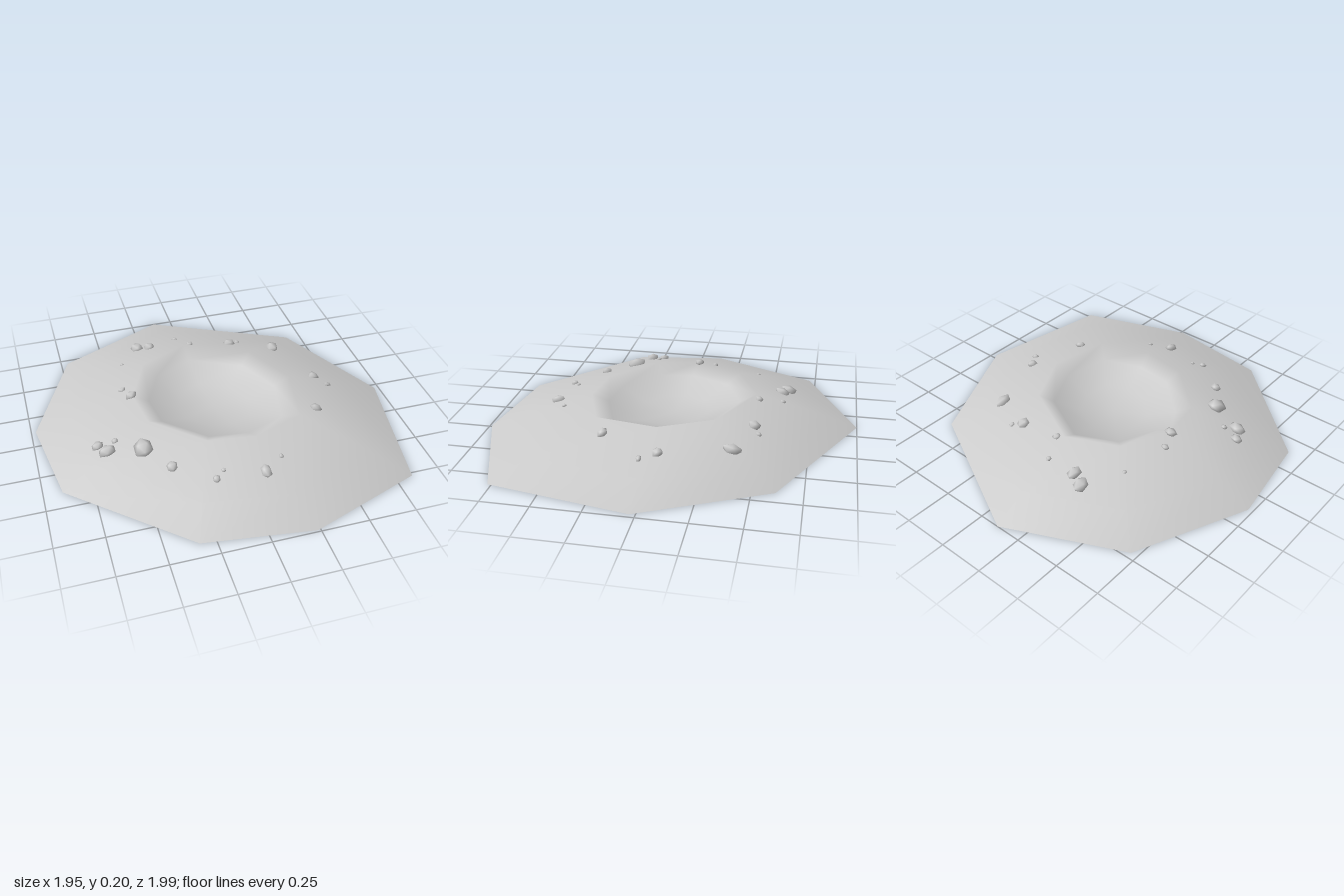
import * as THREE from 'three';
import { mergeVertices } from 'three/addons/utils/BufferGeometryUtils.js';

// Uneven nine-sided footprint (x, z), clockwise seen from above
const OUTLINE = [
  [-0.11, -1], [0.665, -0.615], [0.976, 0.03], [0.844, 0.77], [0.237, 0.99],
  [-0.332, 0.913], [-0.902, 0.39], [-0.976, -0.12], [-0.712, -0.717],
];

// Crater profile from the foot to the bowl floor: [scale of outline, height]
const PROFILE = [[1, 0], [0.8, 0.075], [0.45, 0.182], [0.36, 0.135], [0.2, 0.075], [0, 0.06]];

// Rocks on the slope: [x, z, width, depth]
const ROCKS = [
  [-0.3, -0.605, 0.075, 0.09], [-0.23, -0.575, 0.058, 0.08], [-0.07, -0.59, 0.03, 0.032],
  [-0.01, -0.465, 0.042, 0.042], [0.235, -0.465, 0.068, 0.062], [0.293, -0.495, 0.03, 0.032],
  [0.48, -0.38, 0.064, 0.095], [-0.428, -0.42, 0.022, 0.022], [-0.48, -0.157, 0.044, 0.032],
  [-0.445, -0.066, 0.063, 0.053], [-0.685, 0.2, 0.063, 0.052], [-0.645, 0.265, 0.09, 0.07],
  [-0.594, 0.214, 0.032, 0.032], [-0.465, 0.325, 0.095, 0.11], [-0.355, 0.485, 0.058, 0.06],
  [-0.164, 0.627, 0.038, 0.044], [-0.117, 0.59, 0.022, 0.024], [0.085, 0.648, 0.053, 0.08],
  [0.19, 0.58, 0.023, 0.027], [0.495, 0.283, 0.063, 0.052], [0.602, -0.025, 0.063, 0.053],
  [0.656, 0.057, 0.042, 0.028],
];

function seeded(seed) {
  return () => {
    seed = (seed * 16807) % 2147483647;
    return seed / 2147483647;
  };
}

// Height of the outer slope at a point
function slopeHeight(x, z) {
  let s = 0;
  OUTLINE.forEach(([ax, az], i) => {
    const [bx, bz] = OUTLINE[(i + 1) % OUTLINE.length];
    const nx = bz - az, nz = ax - bx;
    s = Math.max(s, (nx * x + nz * z) / (nx * ax + nz * az));
  });
  const k = PROFILE.findIndex(([r]) => r <= s);
  if (k < 1) return 0;
  const [r0, y0] = PROFILE[k - 1], [r1, y1] = PROFILE[k];
  return y0 + ((y1 - y0) * (r0 - s)) / (r0 - r1);
}

// Open shell: scaled copies of the outline joined ring to ring, closed at the floor
function craterGeometry() {
  const n = OUTLINE.length, rings = PROFILE.length - 1;
  const position = [], index = [];
  for (let i = 0; i < rings; i++) {
    const [s, y] = PROFILE[i];
    for (const [x, z] of OUTLINE) position.push(x * s, y * (1 - 0.02 * z), z * s);
  }
  position.push(0, PROFILE[rings][1], 0);
  for (let i = 0; i < rings; i++) {
    for (let j = 0; j < n; j++) {
      const a = i * n + j, b = i * n + ((j + 1) % n);
      if (i === rings - 1) index.push(a, rings * n, b);
      else index.push(a, a + n, b, b, a + n, b + n);
    }
  }
  const geometry = new THREE.BufferGeometry();
  geometry.setAttribute('position', new THREE.Float32BufferAttribute(position, 3));
  geometry.setIndex(index);
  geometry.computeVertexNormals();
  return geometry;
}

// Smooth-shaded irregular pebble of unit size
function rockGeometry(random) {
  let geometry = new THREE.IcosahedronGeometry(0.54, 0);
  geometry.deleteAttribute('normal');
  geometry.deleteAttribute('uv');
  geometry = mergeVertices(geometry, 1e-3);
  const p = geometry.attributes.position;
  for (let i = 0; i < p.count; i++) {
    const k = 0.88 + 0.24 * random();
    p.setXYZ(i, p.getX(i) * k, p.getY(i) * k, p.getZ(i) * k);
  }
  geometry.computeVertexNormals();
  return geometry;
}

export function createModel() {
  const model = new THREE.Group();
  model.name = 'crater';

  const ground = new THREE.Mesh(
    craterGeometry(),
    new THREE.MeshStandardMaterial({ color: 0xcccccc, side: THREE.DoubleSide }),
  );
  ground.name = 'craterGround';
  model.add(ground);

  // Rocks half sunk into the slope and tilted along it
  const rocks = new THREE.Group();
  rocks.name = 'rocks';
  const material = new THREE.MeshStandardMaterial({ color: 0xcccccc });
  const random = seeded(71);
  const up = new THREE.Vector3(0, 1, 0);
  for (const [x, z, w, d] of ROCKS) {
    const rock = new THREE.Mesh(rockGeometry(random), material);
    rock.name = 'rock';
    rock.scale.set(w, 0.42 * (w + d) * 0.8, d);
    rock.position.set(x, slopeHeight(x, z) + 0.03 * (w + d), z);
    const r = Math.hypot(x, z);
    rock.quaternion.setFromUnitVectors(up, new THREE.Vector3((0.3 * x) / r, 1, (0.3 * z) / r).normalize());
    rocks.add(rock);
  }
  model.add(rocks);
  return model;
}
